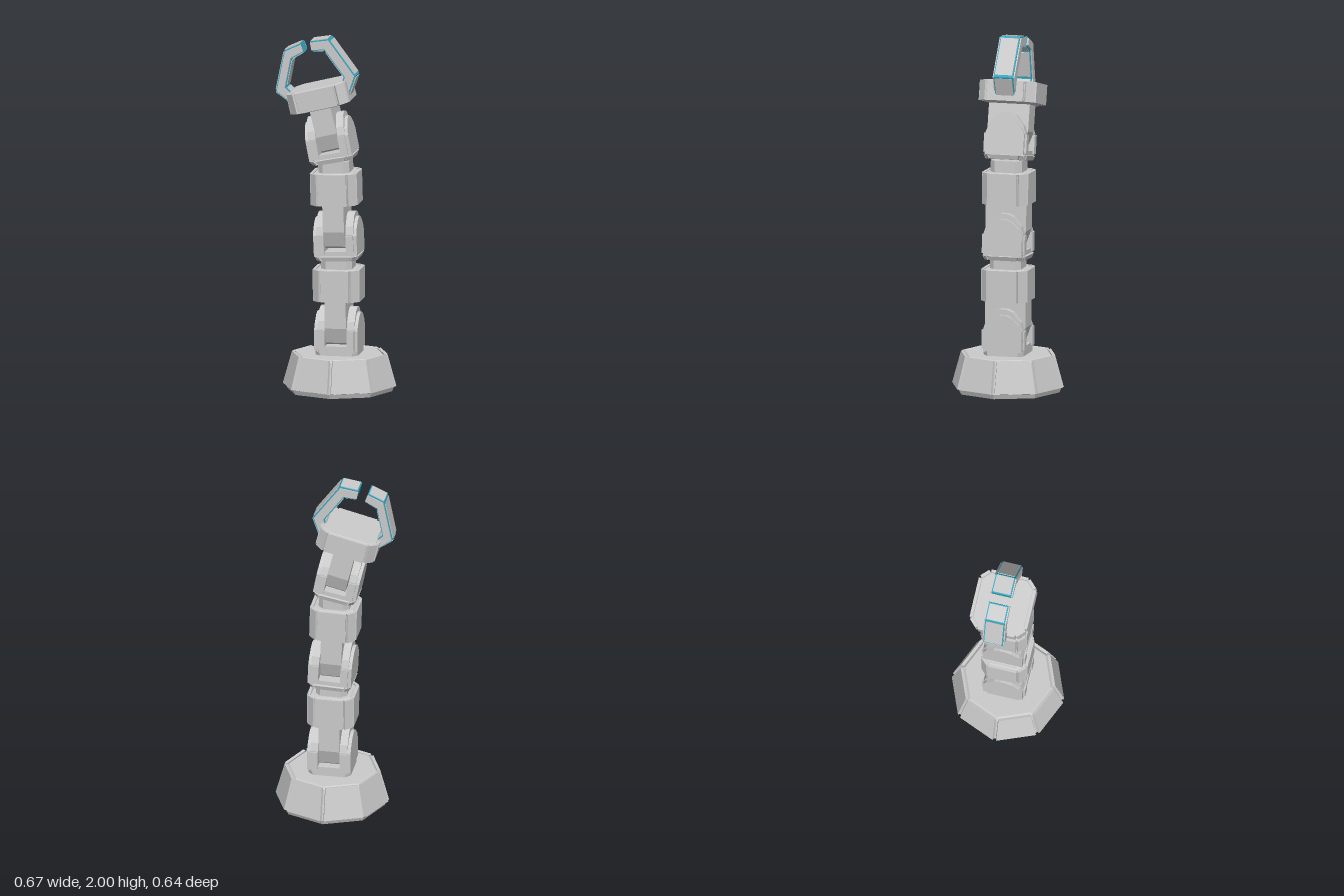
import * as THREE from 'three';
import { ConvexGeometry } from 'three/addons/geometries/ConvexGeometry.js';

const grey = new THREE.MeshStandardMaterial({ color: 0xcbcbcb });
grey.name = 'lightGrey';
const teal = new THREE.MeshStandardMaterial({ color: 0x35a9c4 });
teal.name = 'tealGlow';

const V = (x, y, z) => new THREE.Vector3(x, y, z);

function add(parent, name, geometry, material = grey) {
  const mesh = new THREE.Mesh(geometry, material);
  mesh.name = name;
  parent.add(mesh);
  return mesh;
}

function group(parent, name, x, y, degrees) {
  const g = new THREE.Group();
  g.name = name;
  g.position.set(x, y, 0);
  g.rotation.z = THREE.MathUtils.degToRad(degrees);
  parent.add(g);
  return g;
}

// Horizontal cross-sections, counter-clockwise from above
const regularRing = (r, y) => Array.from({ length: 8 }, (_, i) =>
  V(r * Math.cos(i * Math.PI / 4), y, -r * Math.sin(i * Math.PI / 4)));
const boxRing = (w, d, c, y) => [
  [w, d - c], [w, c - d], [w - c, -d], [c - w, -d],
  [-w, c - d], [-w, d - c], [c - w, d], [w - c, d]].map(([x, z]) => V(x, y, z));

const hull = (...rings) => new ConvexGeometry(rings.flat());

// Raised armour plate over a quad, inset by gap
function plate(parent, name, quad, thick, gap) {
  const centre = quad.reduce((s, p) => s.add(p), V(0, 0, 0)).multiplyScalar(0.25);
  const u = quad[1].clone().sub(quad[0]).normalize();
  const n = u.clone().cross(quad[3].clone().sub(quad[0])).normalize();
  const base = quad.map(p => p.clone().addScaledVector(u, -Math.sign(p.clone().sub(centre).dot(u)) * gap));
  const inner = base.map(p => p.clone().addScaledVector(n, -0.006));
  const outer = base.map(p => p.clone().addScaledVector(n, thick));
  add(parent, name, hull(inner, outer));
}

function plateRing(parent, name, low, high, thick, gap) {
  low.forEach((p, i) => {
    const j = (i + 1) % 8;
    plate(parent, name, [p, low[j], high[j], high[i]], thick, gap);
  });
}

function extrude(points, depth, holeless = false) {
  const shape = new THREE.Shape(points.map(([x, y]) => new THREE.Vector2(x, y)));
  const g = new THREE.ExtrudeGeometry(shape, { depth, bevelEnabled: false });
  return g.translate(0, 0, -depth / 2);
}

const mirrored = half => [...half, ...half.slice().reverse().map(([a, b]) => [-a, b])];
const sideExtrude = (half, width) => extrude(mirrored(half), width).rotateY(Math.PI / 2);

// Fork with two rounded cheeks
function fork(parent, name, x, y, tilt, flared) {
  const g = group(parent, name, x, y, tilt);
  const b = flared ? 0.022 : 0;
  add(g, 'forkFloor', hull(boxRing(0.12 - b, 0.115 - b, 0.03, 0),
    boxRing(0.12, 0.115, 0.025, 0.024), boxRing(0.12, 0.115, 0.025, 0.055)));
  if (flared) {
    plateRing(g, 'forkCollarPlate', boxRing(0.108, 0.112, 0.03, 0.004), boxRing(0.12, 0.12, 0.03, 0.028), 0.006, 0.004);
  }
  const cheek = [[0.113, 0.02], [0.115, 0.15], [0.1, 0.195], [0.055, 0.25], [0.02, 0.265]];
  const cover = [[0.112, 0.03], [0.112, 0.145], [0.095, 0.18], [0.05, 0.222], [0.015, 0.236]];
  for (const s of [-1, 1]) {
    add(g, 'cheek', sideExtrude(cheek, 0.043)).position.x = s * 0.0835;
    add(g, 'cheekCover', sideExtrude(cover, 0.018)).position.x = s * 0.114;
    for (const f of [-1, 1]) {
      const pad = add(g, 'cheekPad', new THREE.BoxGeometry(0.042, 0.105, 0.012));
      pad.position.set(s * 0.083, 0.092, f * 0.118);
    }
  }
}

// Tongue hanging into the fork below
function tongue(g) {
  add(g, 'tongue', sideExtrude(
    [[0.075, -0.245], [0.088, -0.235], [0.118, -0.15], [0.118, 0.02]], 0.12));
}

// Arm block with armour plates, tongue and neck
function armBlock(parent, name, x, y, tilt) {
  const g = group(parent, name, x, y, tilt);
  tongue(g);
  add(g, 'blockCore', hull(boxRing(0.122, 0.122, 0.04, 0.004), boxRing(0.122, 0.122, 0.04, 0.168),
    boxRing(0.108, 0.108, 0.038, 0.18)));
  plateRing(g, 'blockPlate', boxRing(0.122, 0.123, 0.04, 0), boxRing(0.122, 0.123, 0.04, 0.178), 0.011, 0.002);
  add(g, 'neck', hull(boxRing(0.088, 0.09, 0.03, 0.17), boxRing(0.088, 0.09, 0.03, 0.245)));
}

function hand(parent, x, y, tilt) {
  const g = group(parent, 'hand', x, y, tilt);
  tongue(g);
  add(g, 'palm', hull(boxRing(0.135, 0.125, 0.04, 0), boxRing(0.16, 0.152, 0.045, 0.015),
    boxRing(0.16, 0.152, 0.045, 0.118), boxRing(0.152, 0.144, 0.042, 0.126)));
  plateRing(g, 'palmPlate', boxRing(0.16, 0.153, 0.045, 0.008), boxRing(0.16, 0.153, 0.045, 0.122), 0.012, 0.003);
}

// Bent finger: teal core under grey side, outer and inner plates
function finger(parent, name, outer, inner) {
  const g = group(parent, name, 0, 0, 0);
  const at = (i, t) => [0, 1].map(k => outer[i][k] + (inner[i][k] - outer[i][k]) * t);
  const band = (a, b) => [...outer.map((_, i) => at(i, a)), ...outer.map((_, i) => at(i, b)).reverse()];
  add(g, 'fingerCore', extrude(band(0.07, 0.93), 0.112), teal);
  for (const s of [-1, 1]) {
    add(g, 'fingerSidePlate', extrude(band(0.17, 0.83), 0.01)).position.z = s * 0.058;
  }
  const mix = (p, q, t) => [p[0] + (q[0] - p[0]) * t, p[1] + (q[1] - p[1]) * t];
  for (let i = 0; i < outer.length - 1; i++) {
    for (const [a, b] of [[0, 0.18], [1, 0.82]]) {
      const e = 0.06;
      add(g, a ? 'fingerInnerPlate' : 'fingerOuterPlate', extrude([
        mix(at(i, a), at(i + 1, a), e), mix(at(i, a), at(i + 1, a), 1 - e),
        mix(at(i, b), at(i + 1, b), 1 - e), mix(at(i, b), at(i + 1, b), e)], 0.1));
    }
  }
}

export function createModel() {
  const model = new THREE.Group();
  model.name = 'roboticArm';

  // Octagonal pedestal
  const base = group(model, 'base', 0.0165, 0, 0);
  add(base, 'baseCore', hull(regularRing(0.298, 0), regularRing(0.308, 0.025),
    regularRing(0.262, 0.195), regularRing(0.245, 0.21)));
  plateRing(base, 'basePlate', regularRing(0.314, 0.027), regularRing(0.263, 0.208), 0.01, 0.008);

  // Arm chain
  fork(model, 'lowerFork', 0.016, 0.208, 0, false);
  armBlock(model, 'lowerBlock', 0.013, 0.515, 0.5);
  fork(model, 'middleFork', 0.016, 0.745, 2.5, true);
  armBlock(model, 'upperBlock', 0.0, 1.06, 1.5);
  fork(model, 'upperFork', -0.008, 1.3, 11, true);
  hand(model, -0.072, 1.604, 14);

  // Claw fingers, from palm to tip
  finger(model, 'rightFinger',
    [[-0.262, 1.63], [-0.34, 1.685], [-0.291, 1.925], [-0.198, 1.968]],
    [[-0.215, 1.66], [-0.272, 1.715], [-0.242, 1.873], [-0.176, 1.912]]);
  finger(model, 'leftFinger',
    [[0.075, 1.65], [0.123, 1.79], [-0.033, 2.0], [-0.143, 1.982]],
    [[0.015, 1.68], [0.045, 1.782], [-0.062, 1.924], [-0.13, 1.92]]);
  return model;
}
